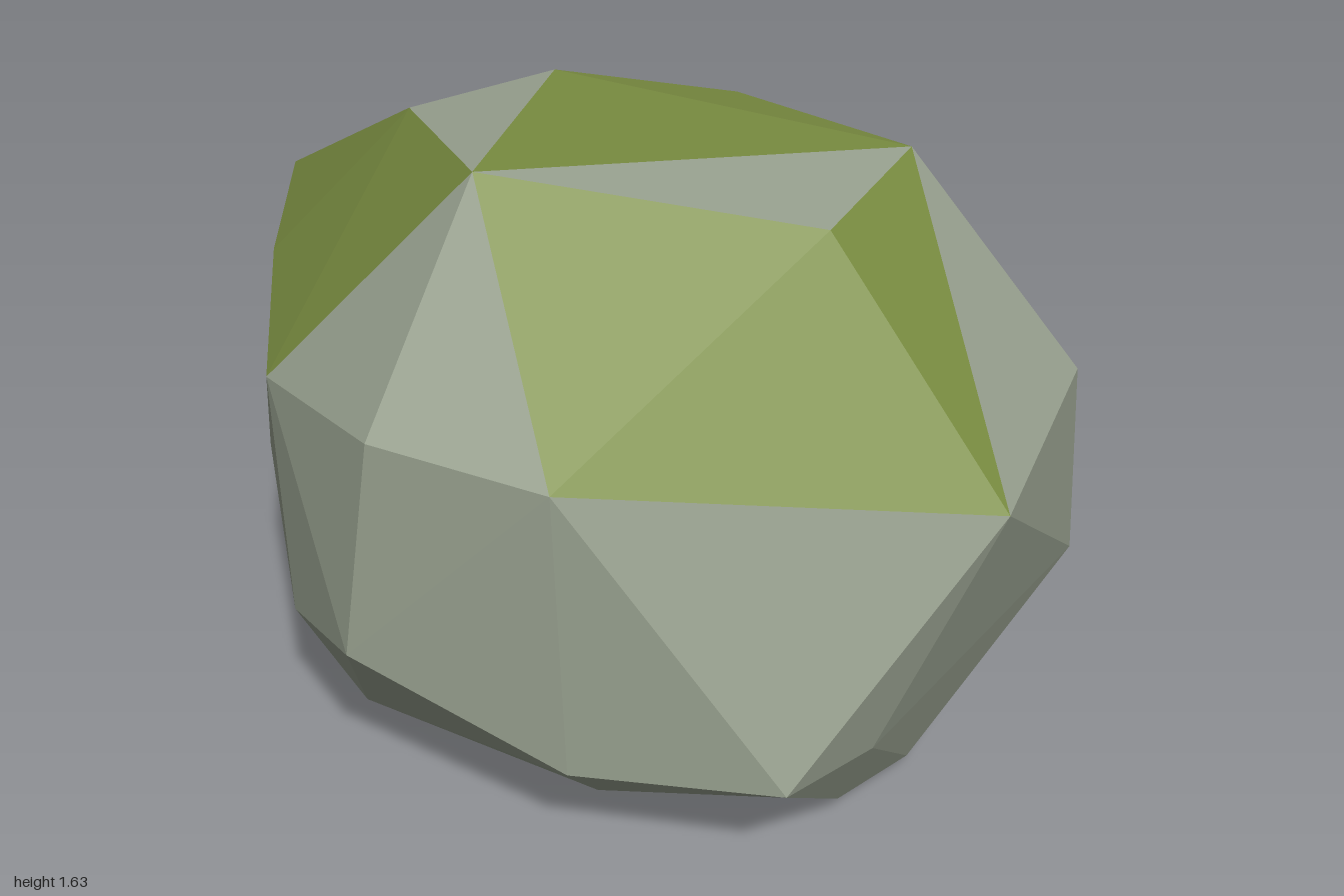
import * as THREE from 'three';
import { ConvexGeometry } from 'three/addons/geometries/ConvexGeometry.js';

// Crown corners that the moss patches hang between
const crown = {
  left: [1, 1.04, 0.285], leftBack: [0.965, 1.05, -0.31], backLeft: [0.6, 1.12, -0.57],
  back: [-0.22, 1.17, -0.765], backRight: [-0.585, 1.195, -0.5], right: [-1, 1.205, -0.16],
  rightFront: [-0.885, 1.135, 0.13], frontRight: [-0.66, 1.065, 0.525], front: [0.165, 1.13, 0.745],
  topFront: [-0.18, 1.63, 0.4], topLeft: [0.545, 1.57, 0.21], topLeftBack: [0.565, 1.565, -0.22],
  topBack: [0.08, 1.52, -0.39], topRightBack: [-0.31, 1.565, -0.23], topRight: [-0.515, 1.565, 0.085],
};

// Bare corners of the sides and underside
const sides = [
  [-0.26, 1.145, 0.76], [0.16, 1.015, -0.735], [-0.34, 0.56, 0.775], [-0.63, 0.43, 0.545],
  [0.19, 0.38, 0.74], [0.675, 0.435, 0.655], [0.78, 0.42, 0.41], [0.975, 0.485, -0.41],
  [0.54, 0.75, -0.595], [-0.375, 0.52, -0.775], [-0.94, 0.38, -0.18], [-0.93, 0.58, 0.16],
];
const underside = [
  [0.735, 0.05, 0], [0.65, 0.08, 0.245], [0.145, 0.12, 0.5], [-0.51, 0.12, 0.45],
  [-0.745, 0.1, -0.12], [-0.47, 0, -0.375], [-0.25, 0.05, -0.505], [0.15, 0.15, -0.61],
  [0.46, 0.12, -0.385], [0.58, 0.035, -0.25],
];

// A facet is mossy when all its corners belong to one patch
const mossPatches = [
  ['right', 'backRight', 'back', 'topRightBack'],
  ['back', 'topBack', 'backLeft', 'leftBack', 'topLeftBack'],
  ['topBack', 'topRightBack', 'topFront', 'topLeftBack'],
  ['topLeftBack', 'topLeft', 'left'],
  ['topFront', 'topLeft', 'left', 'front'],
  ['right', 'topRight', 'topFront', 'frontRight', 'rightFront'],
];

function facetMesh(name, positions, material) {
  const geometry = new THREE.BufferGeometry();
  geometry.setAttribute('position', new THREE.Float32BufferAttribute(positions, 3));
  geometry.computeVertexNormals(); // unshared corners give flat facets
  const mesh = new THREE.Mesh(geometry, material);
  mesh.name = name;
  return mesh;
}

export function createModel() {
  const stone = new THREE.MeshStandardMaterial({ color: 0x9aa391 });
  stone.name = 'grey stone';
  const moss = new THREE.MeshStandardMaterial({ color: 0x7c8f42 });
  moss.name = 'green moss';

  // Boulder hull
  const points = [...Object.values(crown), ...sides, ...underside].map((p) => new THREE.Vector3(...p));
  const hull = new ConvexGeometry(points).getAttribute('position');

  const crownPoints = Object.entries(crown).map(([name, p]) => [name, new THREE.Vector3(...p)]);
  const cornerName = (v) => crownPoints.find(([, p]) => p.distanceTo(v) < 1e-4)?.[0];

  // Sort the facets into bare stone and moss
  const stoneFacets = [];
  const mossFacets = [];
  for (let i = 0; i < hull.count; i += 3) {
    const corners = [0, 1, 2].map((k) => new THREE.Vector3().fromBufferAttribute(hull, i + k));
    const names = corners.map(cornerName);
    const mossy = mossPatches.some((patch) => names.every((n) => patch.includes(n)));
    for (const c of corners) (mossy ? mossFacets : stoneFacets).push(c.x, c.y, c.z);
  }

  const group = new THREE.Group();
  group.name = 'mossyBoulder';
  group.add(facetMesh('stoneBody', stoneFacets, stone), facetMesh('mossPatches', mossFacets, moss));
  return group;
}
